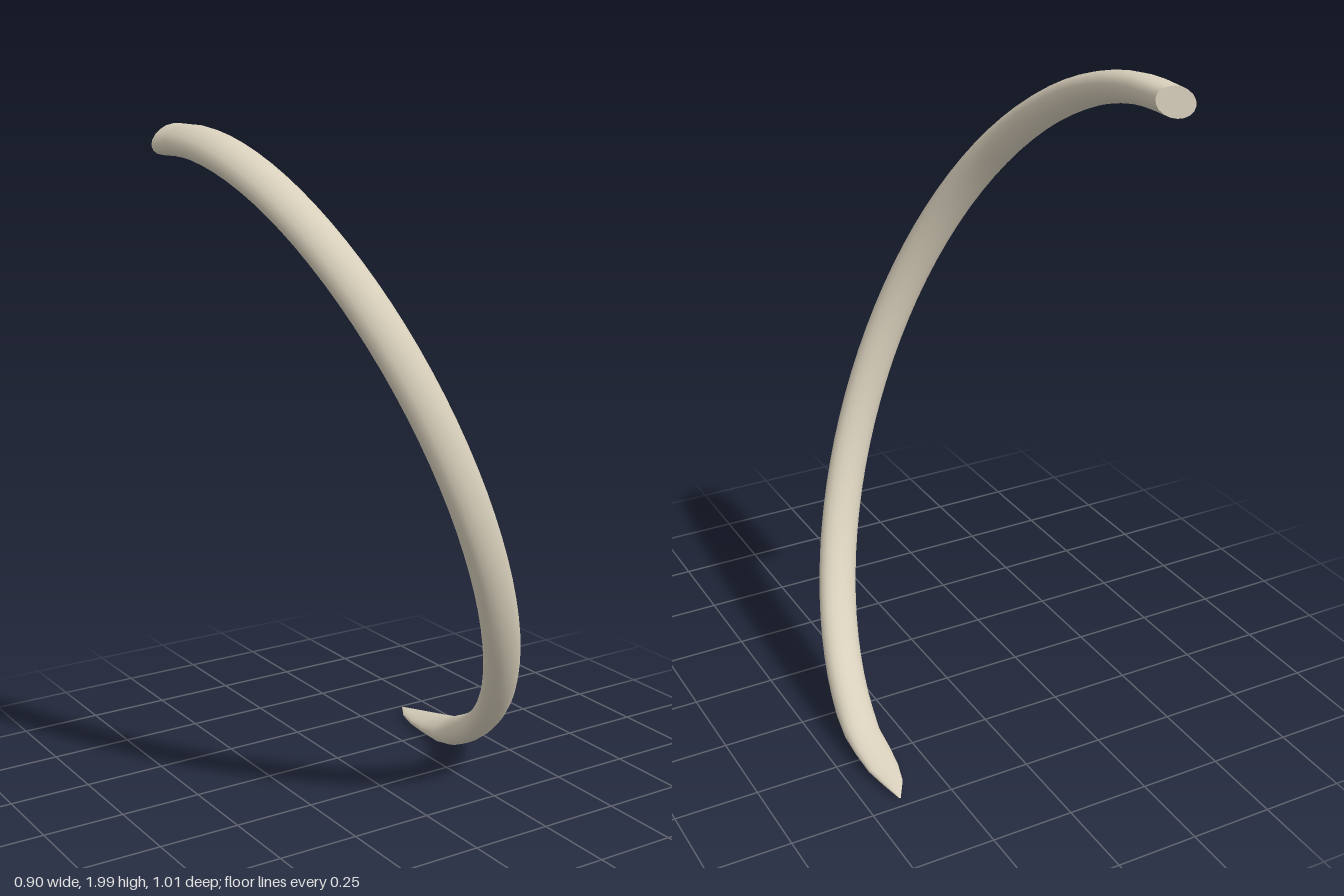
import * as THREE from 'three';

const SIDES = 18;

// Stations along the arc: height y, depth z, radial half-thickness, half-width, sideways tilt
function makeStations() {
  const list = [{ y: 1.956, z: -0.505, thick: 0.042, wide: 0.068, tilt: 1 }];
  const steps = 40, start = Math.PI / 2, end = -1.2;
  for (let i = 0; i <= steps; i++) {
    const a = start + (end - start) * i / steps;
    list.push({
      y: 0.98 + 0.977 * Math.sin(a), z: -0.43 + 0.89 * Math.cos(a),
      thick: 0.043, wide: 0.064 - 0.003 * i / steps, tilt: 1,
    });
  }
  // Flattened, sharpened tip
  list.push({ y: 0.044, z: -0.18, thick: 0.034, wide: 0.06, tilt: 0.8 });
  list.push({ y: 0.034, z: -0.26, thick: 0.023, wide: 0.057, tilt: 0.5 });
  list.push({ y: 0.025, z: -0.34, thick: 0.015, wide: 0.048, tilt: 0.3 });
  list.push({ y: 0.02, z: -0.41, thick: 0.009, wide: 0.03, tilt: 0.2 });
  list.push({ y: 0.016, z: -0.475, thick: 0.001, wide: 0.002, tilt: 0 });
  for (const s of list) s.p = new THREE.Vector3(0.408 * (0.98 - s.y), s.y, s.z);
  list[list.length - 1].p.x = 0.403;
  return list;
}

// Oval cross-section standing square to the path
function makeRing(stations, i) {
  const s = stations[i];
  const prev = stations[Math.max(i - 1, 0)].p;
  const next = stations[Math.min(i + 1, stations.length - 1)].p;
  const t = next.clone().sub(prev).normalize();
  if (i === 0) t.set(0, 0, 1);
  const n = new THREE.Vector3(0.927, 0.375 * s.tilt, 0).normalize();
  const r = n.clone().cross(t).normalize();
  const ring = [];
  for (let j = 0; j < SIDES; j++) {
    const a = j / SIDES * Math.PI * 2;
    const v = s.p.clone()
      .addScaledVector(r, Math.cos(a) * s.thick)
      .addScaledVector(n, Math.sin(a) * s.wide);
    v.y = THREE.MathUtils.clamp(v.y, 0.003 + 0.012 * Math.max(0, v.x - 0.35) / 0.1, 2);
    if (s.y < 0.1 && v.y < 0.006 && v.x < 0.36) v.y = 0;
    ring.push(v);
  }
  return ring;
}

function buildGeometry(points, index) {
  const g = new THREE.BufferGeometry().setFromPoints(points);
  g.setIndex(index);
  g.computeVertexNormals();
  return g;
}

export function createModel() {
  const group = new THREE.Group();
  group.name = 'curvedTusk';
  const ivory = new THREE.MeshStandardMaterial({ color: 0xd8cfbb });
  ivory.name = 'ivory';

  const stations = makeStations();
  const rings = stations.map((s, i) => makeRing(stations, i));

  // Curved shaft with its pointed tip
  const index = [];
  for (let i = 0; i < rings.length - 1; i++) {
    for (let j = 0; j < SIDES; j++) {
      const k = (j + 1) % SIDES;
      const a = i * SIDES + j, b = i * SIDES + k;
      index.push(a, b, a + SIDES, b, b + SIDES, a + SIDES);
    }
  }
  const shaft = new THREE.Mesh(buildGeometry(rings.flat(), index), ivory);
  shaft.name = 'shaft';

  // Flat cut end at the top
  const capIndex = [];
  for (let j = 0; j < SIDES; j++) capIndex.push(0, 1 + (j + 1) % SIDES, 1 + j);
  const cap = new THREE.Mesh(buildGeometry([stations[0].p, ...rings[0]], capIndex), ivory);
  cap.name = 'cutEnd';

  group.add(shaft, cap);
  return group;
}
